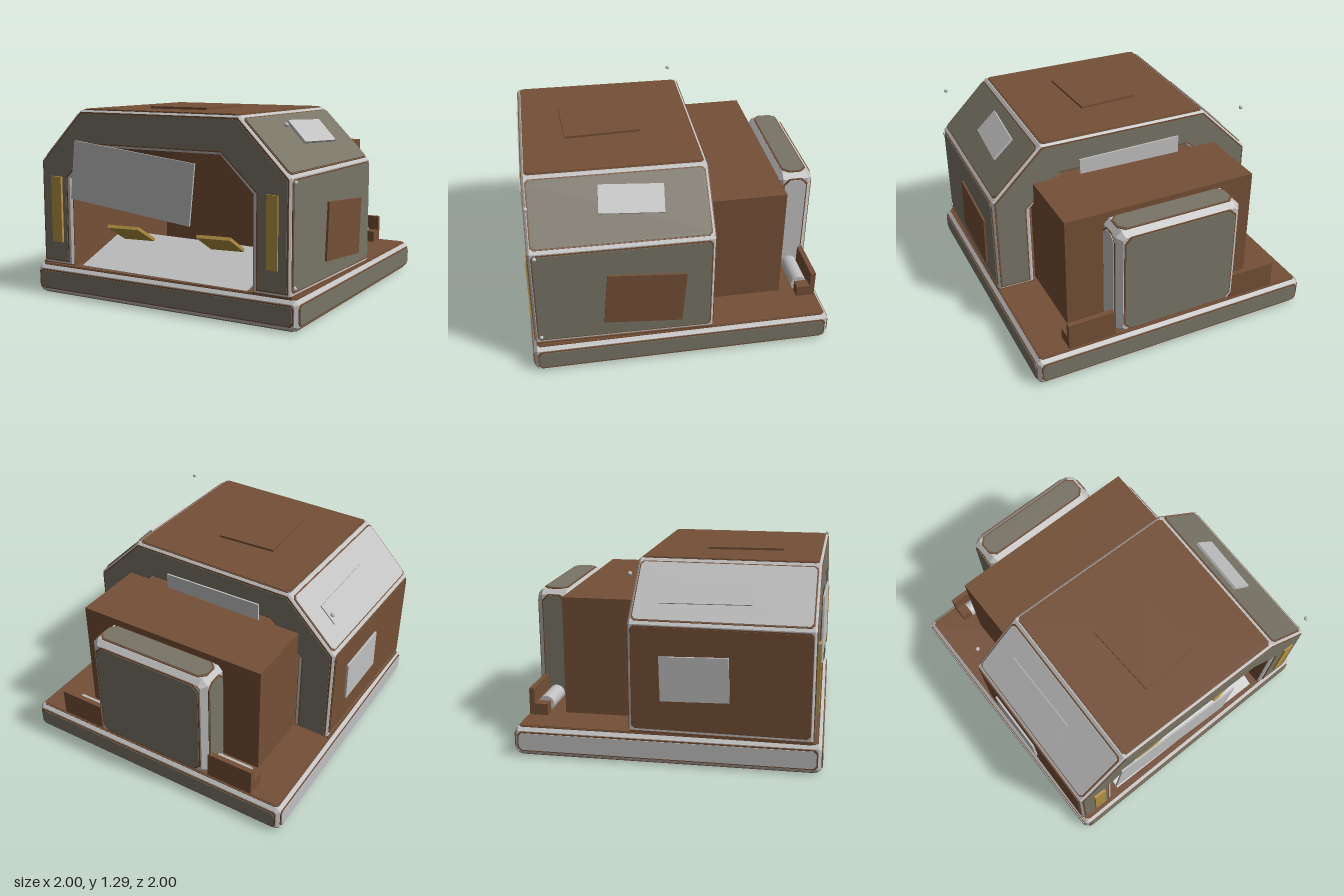
import * as THREE from 'three';

const mat = (name, color) => Object.assign(new THREE.MeshStandardMaterial({ color }), { name });

export function createModel() {
  const brown = mat('rust brown', 0x744f36);
  const olive = mat('olive grey', 0x787466);
  const light = mat('light metal', 0xc0c0c0);
  const gold = mat('gold', 0xb59241);
  const root = new THREE.Group();
  root.name = 'shelterOnPlinth';
  const H = Math.PI / 2;

  // Facing angles: tilt about x, then turn about y
  const FACE = {
    front: [0, 0], back: [0, Math.PI], right: [0, -H], left: [0, H],
    top: [-H, 0], bottom: [H, 0], slopeL: [-H / 2, H], slopeR: [-H / 2, -H],
  };

  function add(parent, name, geo, material, pos = [0, 0, 0]) {
    const m = new THREE.Mesh(geo, material);
    m.name = name;
    m.position.set(...pos);
    parent.add(m);
    return m;
  }
  const box = (parent, name, material, size, pos) =>
    add(parent, name, new THREE.BoxGeometry(...size), material, pos);

  // Rectangle with cut corners
  function cutRect(w, h, c) {
    const x = w / 2, y = h / 2;
    return new THREE.Shape([
      [-x + c, -y], [x - c, -y], [x, -y + c], [x, y - c],
      [x - c, y], [-x + c, y], [-x, y - c], [-x, -y + c],
    ].map(p => new THREE.Vector2(...p)));
  }
  const slab = (shape, depth) => new THREE.ExtrudeGeometry(shape, { depth, bevelEnabled: false });

  // Block with bevelled edges, centred
  function bevelBlock(w, h, d, c) {
    const g = new THREE.ExtrudeGeometry(cutRect(w - 2 * c, h - 2 * c, c * 0.5), {
      depth: d - 2 * c, bevelThickness: c, bevelSize: c, bevelSegments: 1,
    });
    return g.translate(0, 0, -(d - 2 * c) / 2);
  }

  function orient(obj, face, spin = 0) {
    obj.rotation.set(FACE[face][0], FACE[face][1], spin, 'YXZ');
    return obj;
  }

  // Inset panel: coloured plate over a slightly larger brown rim
  function panel(parent, name, material, face, w, h, pos, cut = 0.02) {
    const g = orient(new THREE.Group(), face);
    g.name = name;
    g.position.set(...pos);
    add(g, name + 'Rim', slab(cutRect(w + 0.018, h + 0.018, cut), 0.008), brown, [0, 0, -0.002]);
    add(g, name + 'Face', slab(cutRect(w, h, cut), 0.009), material, [0, 0, 0.001]);
    parent.add(g);
  }

  // Loose plate fixed to a surface
  function plate(parent, name, material, face, w, h, pos, spin, t = 0.012) {
    orient(box(parent, name, material, [w, h, t], pos), face, spin);
  }

  // ---- Plinth ----
  const base = new THREE.Group();
  base.name = 'plinth';
  root.add(base);
  add(base, 'plinthBody', bevelBlock(1.98, 0.184, 1.98, 0.02), light, [0, 0.1, 0]);
  for (const [f, m, p] of [
    ['front', olive, [0, 0.1, 0.99]], ['back', olive, [0, 0.1, -0.99]],
    ['left', olive, [0.99, 0.1, 0]], ['right', light, [-0.99, 0.1, 0]],
  ]) panel(base, 'plinthPanel', m, f, 1.92, 0.115, p);
  panel(base, 'plinthDeck', brown, 'top', 1.92, 1.92, [0, 0.192, 0]);
  panel(base, 'plinthUnderside', olive, 'bottom', 1.92, 1.92, [0, 0.0095, 0]);

  // ---- Arched housing, turned slightly on the plinth ----
  const house = new THREE.Group();
  house.name = 'housing';
  house.position.set(-0.007, 0, 0.37);
  house.rotation.y = -0.021;
  root.add(house);

  // Arch outline: half widths and heights of the outside, then of the opening
  function arch(y0, w, ys, t, yt, iw, iys, it, iyt) {
    return new THREE.Shape([
      [-w, y0], [-w, ys], [-t, yt], [t, yt], [w, ys], [w, y0],
      [iw, y0], [iw, iys], [it, iyt], [-it, iyt], [-iw, iys], [-iw, y0],
    ].map(p => new THREE.Vector2(...p)));
  }
  const bodyShape = arch(0.212, 0.945, 0.906, 0.601, 1.25, 0.715, 0.805, 0.476, 1.035);
  const bodyGeo = new THREE.ExtrudeGeometry(bodyShape, {
    depth: 1.146, bevelThickness: 0.012, bevelSize: 0.012, bevelSegments: 1,
  });
  add(house, 'housingBody', bodyGeo, light, [0, 0, -0.573]);
  add(house, 'tunnelLining', slab(arch(0.2, 0.71, 0.803, 0.474, 1.03, 0.698, 0.798, 0.469, 1.022), 1.14),
    brown, [0, 0, -0.57]);
  for (const s of [-1, 1]) box(house, 'footStrip', brown, [0.262, 0.02, 1.16], [s * 0.833, 0.202, 0]);

  const rimShape = arch(0.222, 0.945, 0.905, 0.6, 1.25, 0.73, 0.808, 0.481, 1.038);
  const faceShape = arch(0.232, 0.935, 0.9, 0.595, 1.24, 0.74, 0.812, 0.485, 1.047);
  for (const s of [1, -1]) {
    const end = new THREE.Group();
    end.name = s > 0 ? 'frontArchPanel' : 'backArchPanel';
    end.rotation.y = s > 0 ? 0 : Math.PI;
    end.position.z = s * 0.584;
    add(end, 'archRim', slab(rimShape, 0.006), brown);
    add(end, 'archFace', slab(faceShape, 0.009), olive);
    house.add(end);
  }

  panel(house, 'roofPanel', brown, 'top', 1.18, 1.12, [0, 1.26, 0]);
  panel(house, 'leftSlopePanel', olive, 'slopeL', 1.12, 0.43, [0.781, 1.086, 0]);
  panel(house, 'rightSlopePanel', light, 'slopeR', 1.12, 0.43, [-0.781, 1.086, 0]);
  panel(house, 'leftWallPanel', olive, 'left', 1.12, 0.66, [0.956, 0.565, 0]);
  panel(house, 'rightWallPanel', brown, 'right', 1.12, 0.66, [-0.956, 0.565, 0]);

  // Patches riveted to the housing
  plate(house, 'roofPatch', brown, 'top', 0.42, 0.505, [-0.035, 1.277, 0.05], 0.06, 0.016);
  plate(house, 'leftWallPatch', brown, 'left', 0.51, 0.375, [0.972, 0.507, -0.135], -0.078, 0.016);
  plate(house, 'leftSlopePatch', light, 'slopeL', 0.415, 0.185, [0.758, 1.132, -0.08], -0.06, 0.024);
  plate(house, 'rightSlopePatch', light, 'slopeR', 0.59, 0.15, [-0.802, 1.082, -0.115], 0.02, 0.012);
  plate(house, 'rightWallPatch', light, 'right', 0.44, 0.29, [-0.972, 0.575, -0.16], 0.03, 0.016);
  plate(house, 'backPatch', light, 'back', 0.74, 0.35, [-0.03, 0.94, -0.602], 0.02, 0.012);
  plate(house, 'hangingSheet', light, 'front', 0.955, 0.395, [-0.187, 0.815, 0.606], -0.105, 0.012);
  plate(house, 'rightLampStrip', gold, 'front', 0.085, 0.45, [-0.815, 0.585, 0.598], 0, 0.024);
  plate(house, 'leftLampStrip', gold, 'front', 0.075, 0.45, [0.842, 0.585, 0.594], 0, 0.02);

  // Rivets
  const rivet = new THREE.SphereGeometry(0.014, 10, 8);
  for (const p of [[0.965, 0.885, 0.545], [0.965, 0.255, 0.545], [0.915, 1.22, 0.57], [-0.915, 1.22, -0.57]])
    add(house, 'rivet', rivet, light, p);

  // ---- Entrance ramp and the two tilted steps ----
  const ramp = box(root, 'ramp', light, [1.28, 0.014, 0.47], [-0.01, 0.284, 0.71]);
  ramp.rotation.set(0.37, -0.015, 0);
  for (const x of [-0.345, 0.35]) {
    const step = box(root, 'step', gold, [0.23, 0.022, 0.26], [x, 0.437, 0.78]);
    step.rotation.set(-0.47, 0.13, 0, 'YXZ');
  }

  // ---- Rear compartment ----
  box(root, 'rearCompartment', brown, [1.37, 0.8, 0.58], [-0.005, 0.6, -0.44]);

  // ---- Rear power unit ----
  const unit = new THREE.Group();
  unit.name = 'rearUnit';
  unit.position.set(-0.005, 0.6, -0.865);
  root.add(unit);
  add(unit, 'rearUnitBody', bevelBlock(0.88, 0.785, 0.24, 0.035), light);
  panel(unit, 'rearUnitBack', olive, 'back', 0.78, 0.7, [0, 0, -0.12], 0.045);
  panel(unit, 'rearUnitFront', olive, 'front', 0.78, 0.7, [0, 0, 0.12], 0.045);
  panel(unit, 'rearUnitTop', olive, 'top', 0.8, 0.15, [0, 0.3925, 0], 0.04);
  panel(unit, 'rearUnitLeft', light, 'left', 0.15, 0.7, [0.44, 0, 0], 0.04);
  panel(unit, 'rearUnitRight', olive, 'right', 0.15, 0.7, [-0.44, 0, 0], 0.04);

  // Pipes and brackets on both sides of the rear unit
  for (const s of [-1, 1]) {
    const pipe = add(root, 'pipe', new THREE.CylinderGeometry(0.055, 0.055, 0.27, 24), light,
      [s * 0.56, 0.257, -0.865]);
    pipe.rotation.z = H;
    box(root, 'bracketPlate', brown, [0.33, 0.185, 0.035], [s * 0.6, 0.2925, -0.94]);
    box(root, 'bracketFoot', brown, [0.075, 0.08, 0.125], [s * 0.7275, 0.24, -0.895]);
  }
  return root;
}
